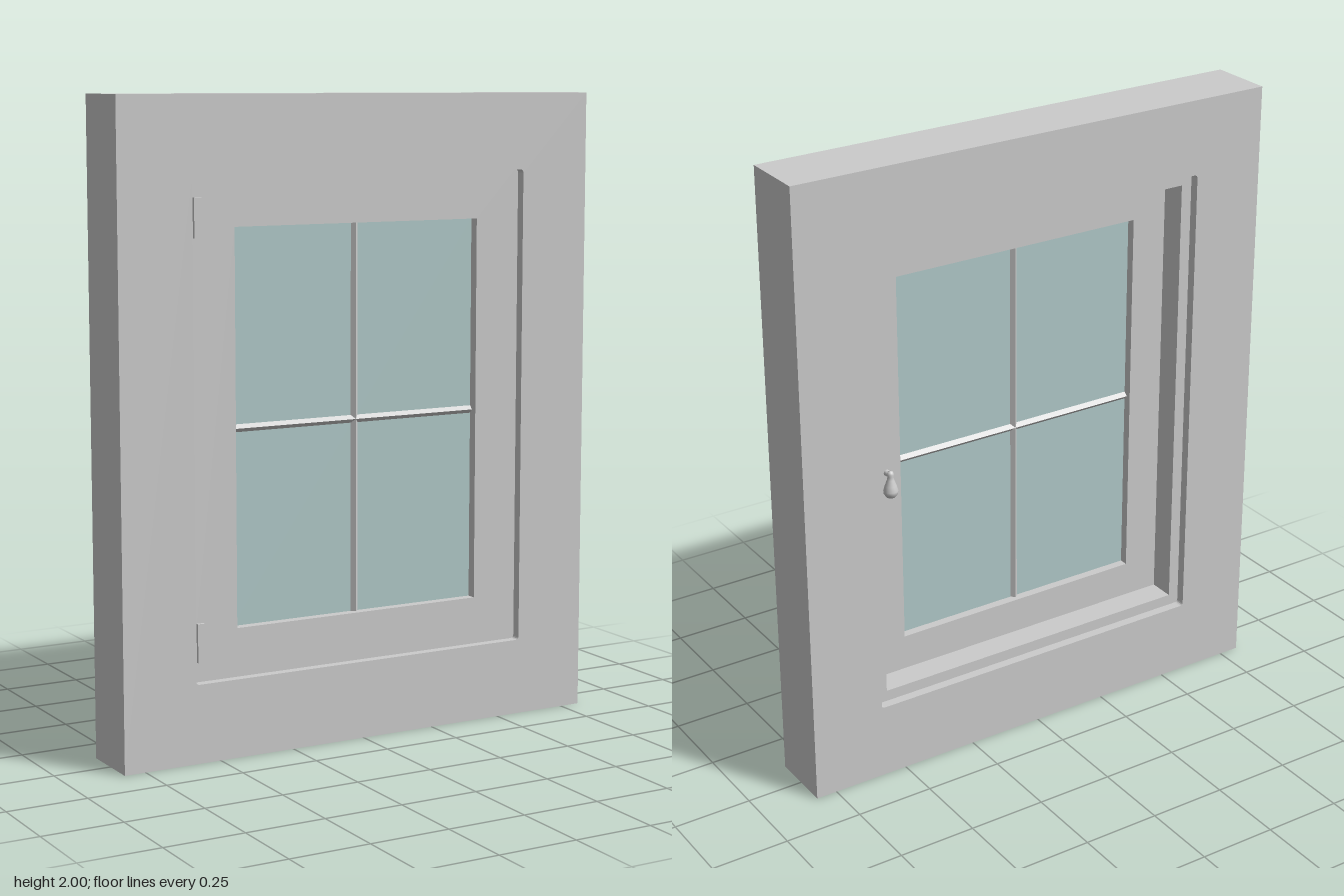
import * as THREE from 'three';

const CY = 1.0025; // height of the window centre

const grey = new THREE.MeshStandardMaterial({ color: 0xcccccc });
const glassMaterial = new THREE.MeshStandardMaterial({ color: 0xb0c9c8 });

function add(group, name, geometry, x, y, z, material = grey) {
  const mesh = new THREE.Mesh(geometry, material);
  mesh.name = name;
  mesh.position.set(x, y, z);
  group.add(mesh);
  return mesh;
}

// Rectangle around (cx, cy) with optional rounded corners
function rect(target, cx, cy, w, h, r) {
  const x = w / 2, y = h / 2;
  target.moveTo(cx - x + r, cy - y);
  target.lineTo(cx + x - r, cy - y);
  if (r) target.quadraticCurveTo(cx + x, cy - y, cx + x, cy - y + r);
  target.lineTo(cx + x, cy + y - r);
  if (r) target.quadraticCurveTo(cx + x, cy + y, cx + x - r, cy + y);
  target.lineTo(cx - x + r, cy + y);
  if (r) target.quadraticCurveTo(cx - x, cy + y, cx - x, cy + y - r);
  target.lineTo(cx - x, cy - y + r);
  if (r) target.quadraticCurveTo(cx - x, cy - y, cx - x + r, cy - y);
  return target;
}

// Extruded panel with a rectangular opening, running from z0 to z1
function ring(outer, inner, z0, z1) {
  const shape = rect(new THREE.Shape(), ...outer);
  shape.holes.push(rect(new THREE.Path(), ...inner));
  const geometry = new THREE.ExtrudeGeometry(shape, { depth: z1 - z0, bevelEnabled: false, curveSegments: 4 });
  return geometry.translate(0, 0, z0);
}

export function createModel() {
  const model = new THREE.Group();
  model.name = 'windowInWall';

  // Wall, fixed frame and opening sash
  const opening = [0, CY, 1.16, 1.516, 0.012];
  const frameInner = [0, CY, 1.088, 1.444, 0];
  const pane = [0, CY, 0.852, 1.214, 0];
  add(model, 'wall', ring([0, 1, 1.636, 2, 0], opening, -0.105, 0.105), 0, 0, 0);
  add(model, 'frame', ring(opening, frameInner, -0.075, 0.01), 0, 0, 0);
  add(model, 'sash', ring(opening, pane, 0.01, 0.075), 0, 0, 0);

  // Glass
  add(model, 'glass', new THREE.BoxGeometry(0.852, 1.214, 0.006), 0, CY, 0.041, glassMaterial);

  // Glazing bars with a diamond section
  const bar = (length) => new THREE.CylinderGeometry(0.015, 0.015, length, 4).toNonIndexed();
  for (const [name, length] of [['verticalBar', 1.214], ['horizontalBar', 0.852]]) {
    const geometry = bar(length);
    geometry.computeVertexNormals();
    const mesh = add(model, name, geometry, 0, CY, 0.041);
    if (name === 'horizontalBar') mesh.rotation.z = Math.PI / 2;
  }

  // Hinges on the right edge of the sash
  for (const [name, y] of [['upperHinge', 1.64], ['lowerHinge', 0.365]]) {
    add(model, name, new THREE.BoxGeometry(0.024, 0.12, 0.012), -0.551, y, 0.079);
  }

  // Pear-shaped handle hanging from a short stem on the back
  const handle = new THREE.Group();
  handle.name = 'handle';
  handle.position.set(0.475, 0.955, -0.013);
  const profile = [
    [0, -0.045], [0.014, -0.041], [0.022, -0.03], [0.023, -0.02], [0.018, -0.003],
    [0.011, 0.016], [0.009, 0.026], [0.011, 0.034], [0.008, 0.042], [0, 0.045],
  ].map(([r, y]) => new THREE.Vector2(r, y));
  add(handle, 'handleGrip', new THREE.LatheGeometry(profile, 20), 0, 0, 0);
  const stem = add(handle, 'handleStem', new THREE.CylinderGeometry(0.008, 0.01, 0.026, 16), 0, 0.03, 0.012);
  stem.rotation.x = -Math.PI / 2;
  model.add(handle);

  return model;
}
